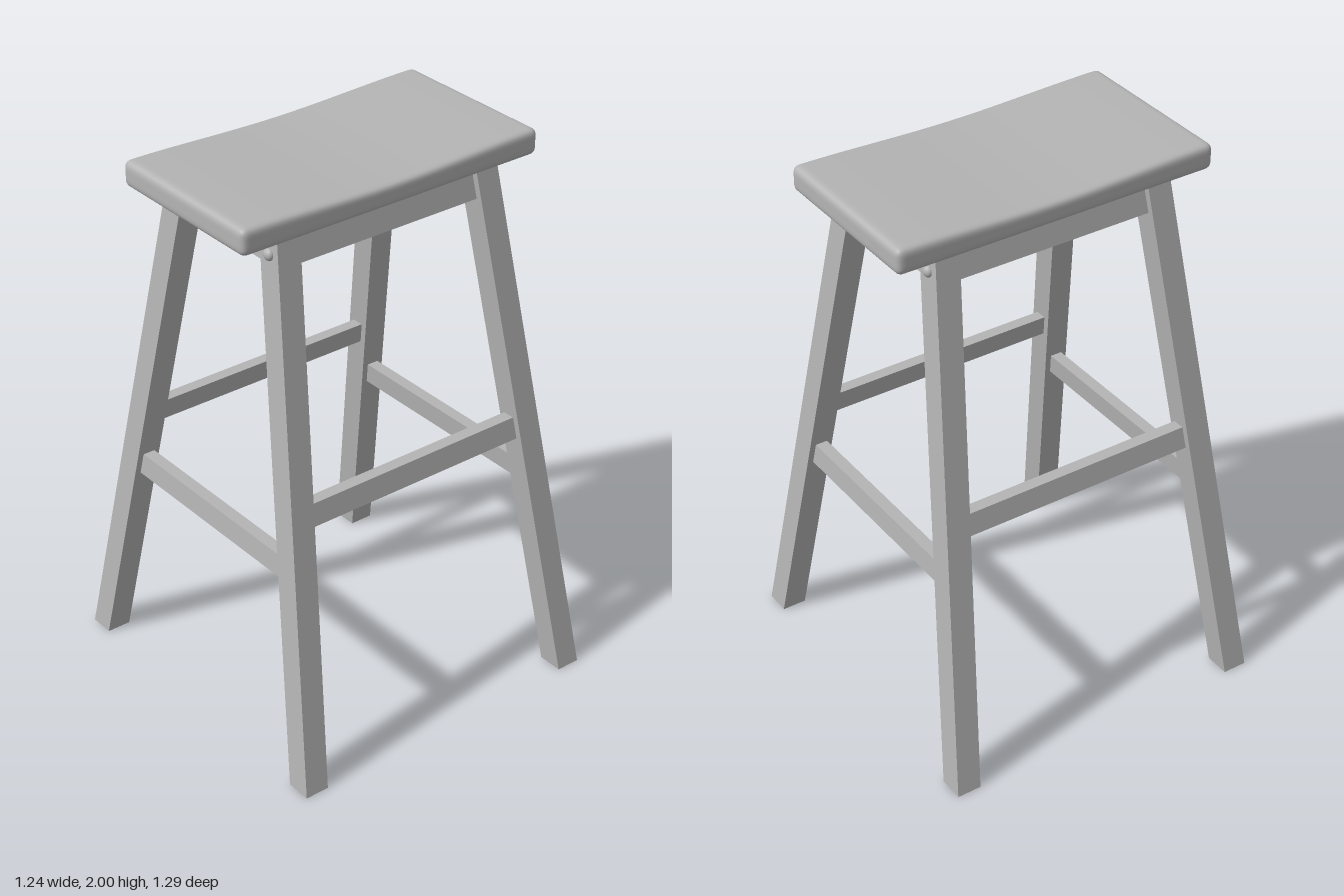
import * as THREE from 'three';
import { mergeVertices } from 'three/addons/utils/BufferGeometryUtils.js';

const SLOPE_X = 0.0874, SLOPE_Z = 0.183; // how far the legs lean per unit of height
const legX = (y) => 0.574 - SLOPE_X * y;
const legZ = (y) => 0.598 - SLOPE_Z * y;

// Box sheared so that it leans sideways as it rises; keeps level ends
function leaningBox(w, h, d, leanX, leanZ) {
  const g = new THREE.BoxGeometry(w, h, d);
  const p = g.attributes.position;
  for (let i = 0; i < p.count; i++) {
    const y = p.getY(i);
    p.setX(i, p.getX(i) + leanX * y);
    p.setZ(i, p.getZ(i) + leanZ * y);
  }
  g.computeVertexNormals();
  return g;
}

// Rounded slab with a shallow saddle dip along its length
function seatGeometry() {
  const half = new THREE.Vector3(0.605, 0.0475, 0.325), r = 0.025;
  const g = new THREE.BoxGeometry(2, 2, 2, 48, 12, 36);
  g.deleteAttribute('normal');
  g.deleteAttribute('uv');
  const p = g.attributes.position;
  const v = new THREE.Vector3(), inner = new THREE.Vector3();
  const limit = half.clone().subScalar(r), low = limit.clone().negate();
  for (let i = 0; i < p.count; i++) {
    v.fromBufferAttribute(p, i);
    // crowd the vertices towards the edges
    v.set(Math.sin(v.x * Math.PI / 2), Math.sin(v.y * Math.PI / 2), Math.sin(v.z * Math.PI / 2)).multiply(half);
    inner.copy(v).clamp(low, limit);
    v.sub(inner).setLength(r).add(inner);
    const dip = 0.016 * Math.cos(v.x / half.x * Math.PI / 2) ** 2;
    v.y -= dip * (v.y + half.y) / (2 * half.y);
    p.setXYZ(i, v.x, v.y, v.z);
  }
  const smooth = mergeVertices(g, 1e-5);
  smooth.computeVertexNormals();
  return smooth;
}

export function createModel() {
  const stool = new THREE.Group();
  stool.name = 'stool';
  const grey = new THREE.MeshStandardMaterial({ color: 0xb4b4b4 });
  grey.name = 'grey paint';

  const add = (name, geometry, x, y, z) => {
    const mesh = new THREE.Mesh(geometry, grey);
    mesh.name = name;
    mesh.position.set(x, y, z);
    stool.add(mesh);
    return mesh;
  };

  add('seat', seatGeometry(), 0, 1.9525, 0);

  // Splayed legs with a round bolt head on each outer side
  const legH = 1.907;
  for (const sx of [-1, 1]) {
    for (const sz of [-1, 1]) {
      const leg = leaningBox(0.09, legH, 0.093, -sx * SLOPE_X, -sz * SLOPE_Z);
      add('leg', leg, sx * legX(legH / 2), legH / 2, sz * legZ(legH / 2));
      const bolt = add('bolt', new THREE.SphereGeometry(0.021, 20, 12), sx * 0.458, 1.85, sz * 0.26);
      bolt.scale.x = 0.8;
    }
  }

  // Aprons under the seat and stretchers lower down, leaning with the legs
  for (const s of [-1, 1]) {
    const longRail = (name, y, h) =>
      add(name, leaningBox(2 * legX(y) - 0.05, h, 0.045, 0, -s * SLOPE_Z), 0, y, s * legZ(y));
    const sideRail = (name, y, h) =>
      add(name, leaningBox(0.045, h, 2 * legZ(y) - 0.05, -s * SLOPE_X, 0), s * legX(y), y, 0);
    longRail('longApron', 1.855, 0.11);
    sideRail('sideApron', 1.855, 0.11);
    longRail('longStretcher', 0.96, 0.08);
    sideRail('sideStretcher', 0.77, 0.08);
  }

  // Panel closing the frame from below
  add('underPanel', new THREE.BoxGeometry(0.8, 0.104, 0.49), 0, 1.854, 0);

  return stool;
}
